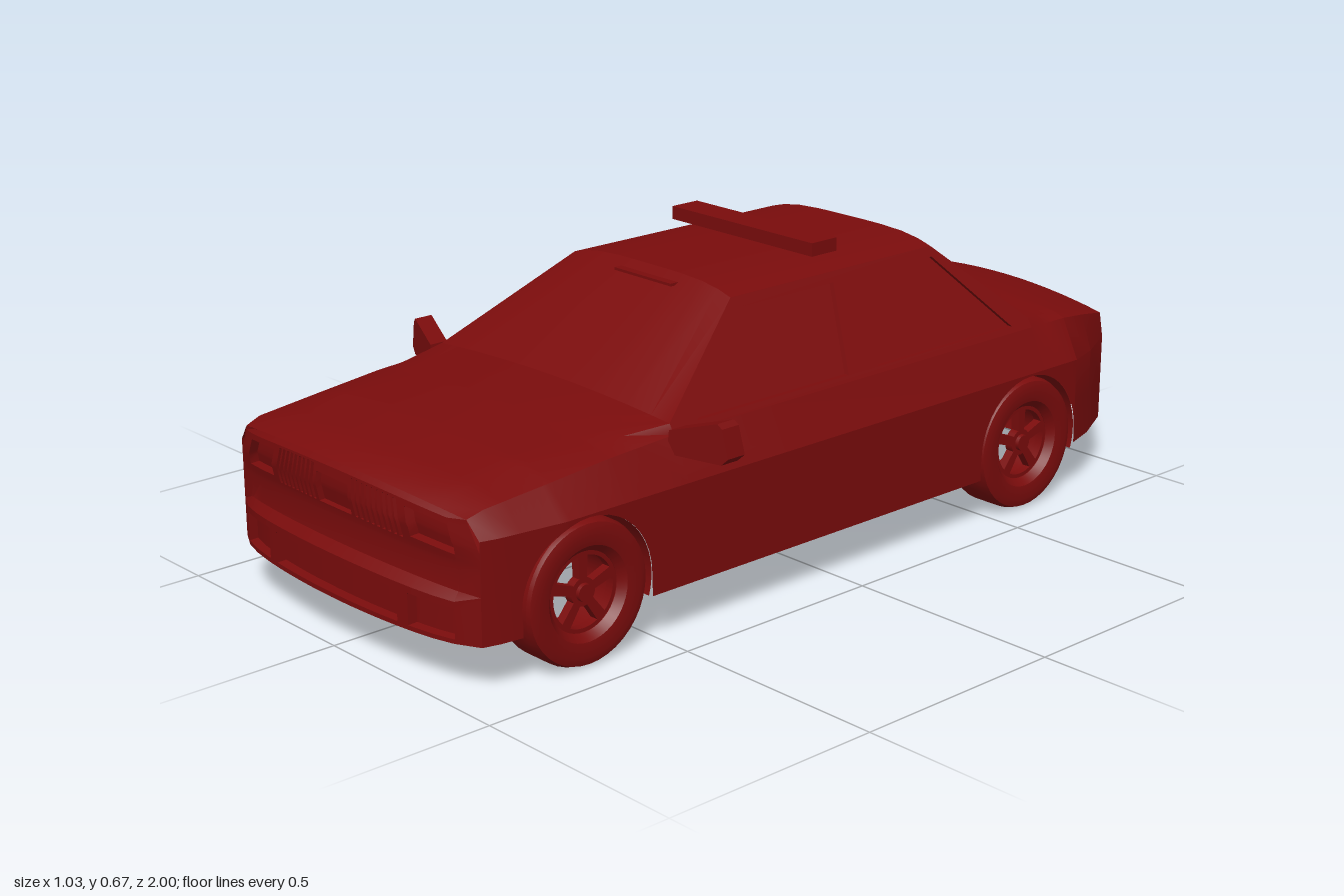
import * as THREE from 'three';
import { toCreasedNormals } from 'three/addons/utils/BufferGeometryUtils.js';

const paint = new THREE.MeshStandardMaterial({ color: 0x7a0c0c, side: THREE.DoubleSide });
const { lerp } = THREE.MathUtils;
const ARCHES = [0.69, -0.61], AXLE_Y = 0.155, ARCH_R = 0.16, SILL = 0.105;

// z, body half width, belt x, belt y, top edge x, top edge y, centre y, crown power
const STATIONS = [
  [0.935, 0.40, 0.37, 0.358, 0.30, 0.367, 0.385, 2],
  [0.90, 0.41, 0.375, 0.37, 0.30, 0.385, 0.405, 2],
  [0.75, 0.43, 0.38, 0.385, 0.31, 0.41, 0.425, 2],
  [0.60, 0.43, 0.383, 0.40, 0.33, 0.415, 0.437, 2],
  [0.43, 0.43, 0.385, 0.41, 0.3715, 0.43, 0.445, 2],
  [0.15, 0.43, 0.385, 0.41, 0.25, 0.61, 0.632, 4],
  [-0.46, 0.43, 0.385, 0.41, 0.25, 0.61, 0.632, 4],
  [-0.66, 0.43, 0.385, 0.41, 0.3715, 0.43, 0.45, 2],
  [-0.77, 0.43, 0.385, 0.41, 0.36, 0.42, 0.443, 2],
  [-0.85, 0.405, 0.375, 0.40, 0.33, 0.41, 0.435, 2],
  [-0.96, 0.35, 0.34, 0.375, 0.28, 0.3865, 0.41, 2],
];

function add(parent, name, geometry) {
  const mesh = new THREE.Mesh(geometry, paint);
  mesh.name = name;
  parent.add(mesh);
  return mesh;
}

// surface from an nu x nv grid of points, optionally leaving out quads
function grid(nu, nv, point, skip = () => false) {
  const pos = [], idx = [];
  for (let j = 0; j < nv; j++) for (let i = 0; i < nu; i++) pos.push(...point(i, j));
  for (let j = 0; j < nv - 1; j++) for (let i = 0; i < nu - 1; i++) {
    if (skip(i, j)) continue;
    const a = j * nu + i, b = a + 1, c = a + nu, d = c + 1;
    idx.push(a, c, b, b, c, d);
  }
  const g = new THREE.BufferGeometry();
  g.setAttribute('position', new THREE.Float32BufferAttribute(pos, 3));
  g.setIndex(idx);
  return toCreasedNormals(g, 0.45);
}

function moveVertices(g, rule) {
  const p = g.attributes.position;
  for (let i = 0; i < p.count; i++) p.setXYZ(i, ...rule(p.getX(i), p.getY(i), p.getZ(i)));
  g.computeVertexNormals();
  return g;
}

const shapeOf = (pts, sx = 1) => new THREE.Shape(pts.map(([x, y]) => new THREE.Vector2(sx * x, y)));
const unique = (list) => [...new Set(list.map((v) => +v.toFixed(4)))].sort((a, b) => a - b);

function stationAt(z) {
  let k = 0;
  while (k < STATIONS.length - 2 && z < STATIONS[k + 1][0]) k++;
  const a = STATIONS[k], b = STATIONS[k + 1], t = (z - a[0]) / (b[0] - a[0]);
  return a.map((v, i) => lerp(v, b[i], t));
}

// lower edge of the body, cut by the wheel arches
function lowerEdge(z) {
  for (const c of ARCHES) {
    const d = Math.abs(z - c);
    if (d <= ARCH_R + 1e-6) return AXLE_Y + Math.sqrt(Math.max(0, ARCH_R ** 2 - d * d));
  }
  return z < -0.7 ? 0.12 : SILL;
}

const noseCurve = (x) => 0.04 * (1 - (x / 0.4) ** 2);

function bodyShell() {
  const zs = STATIONS.map((s) => s[0]);
  for (const c of ARCHES) {
    zs.push(c - ARCH_R - 0.001, c + ARCH_R + 0.001);
    for (let i = 0; i <= 20; i++) zs.push(c + ARCH_R * Math.cos(i * Math.PI / 20));
  }
  const cols = unique(zs).reverse();
  const rings = cols.map((z) => {
    const [, w, xb, yb, xe, ye, yc, p] = stationAt(z);
    const y0 = lowerEdge(z);
    const half = [[w, y0], [w, lerp(y0, 0.32, 0.5)], [w, 0.32], [xb, yb]];
    for (const t of [1, 0.85, 0.65, 0.4, 0.2]) half.push([xe * t, yc - (yc - ye) * t ** p]);
    const ring = [...half, [0, yc], ...half.slice().reverse().map(([x, y]) => [-x, y])];
    const f = THREE.MathUtils.smoothstep(z, 0.6, 0.935);
    return ring.map(([x, y]) => [x, y, z + f * noseCurve(x)]);
  });
  const n = rings[0].length;
  // the upper sides of the cabin are left out for the window panels
  const skip = (i, j) => (i === 3 || i === n - 5) && cols[j] < 0.431 && cols[j + 1] > -0.661;
  return grid(n, cols.length, (i, j) => rings[j][i], skip);
}

// end face with rectangular recesses [x0, x1, y0, y1, depth]
function fascia(s, { z, w, xb, bottom, top, drop, curve, bulge, recesses }) {
  const e = 0.002, xs = [], ys = [bottom, 0.32, top, ...bulge.map((b) => b[0])];
  for (let i = -8; i <= 8; i++) xs.push(w * i / 8);
  for (const [x0, x1, y0, y1] of recesses) {
    xs.push(x0, x0 + e, x1 - e, x1);
    ys.push(y0, y0 + e, y1 - e, y1);
  }
  const X = unique(xs), Y = unique(ys);
  const bulgeAt = (y) => {
    const k = Math.max(1, bulge.findIndex((b) => b[0] >= y - 1e-6));
    const [a, b] = [bulge[k - 1], bulge[k]];
    return lerp(a[1], b[1], (y - a[0]) / (b[0] - a[0]));
  };
  return grid(X.length, Y.length, (i, j) => {
    const u = -s * X[i], v = Y[j];
    const hw = v <= 0.32 ? w : lerp(w, xb, (v - 0.32) / (top - 0.32));
    const x = u * hw / w;
    const y = v - drop * x * x * (v - bottom) / (top - bottom);
    const hit = recesses.find(([x0, x1, y0, y1]) =>
      u > x0 + e / 2 && u < x1 - e / 2 && v > y0 + e / 2 && v < y1 - e / 2);
    const out = curve(x) + bulgeAt(v) * (1 - Math.abs(u / w) ** 8) - (hit ? hit[4] : 0);
    return [x, y, s * (z + out)];
  });
}

// cabin side with two window openings and recessed glass
function cabinSide(group, s) {
  const outline = [[0.43, 0.41], [0.43, 0.43], [0.15, 0.61], [-0.46, 0.61], [-0.66, 0.43], [-0.66, 0.41]];
  const windows = [
    [[0.36, 0.422], [0.13, 0.59], [-0.14, 0.59], [-0.075, 0.422]],
    [[-0.165, 0.422], [-0.205, 0.59], [-0.45, 0.59], [-0.6, 0.422]],
  ];
  const place = (shape, depth, inset) => moveVertices(
    new THREE.ExtrudeGeometry(shape, { depth, bevelEnabled: false }).rotateY(s * Math.PI / 2),
    (x, y, z) => [x + s * (0.385 - 0.675 * (y - 0.41) - inset), y, z]);
  const panel = shapeOf(outline, -s);
  panel.holes = windows.map((w) => shapeOf(w, -s));
  add(group, 'windowFrame', place(panel, 0.015, 0.015));
  for (const w of windows) add(group, 'sideWindow', place(shapeOf(w, -s), 0.003, 0.015));
}

function wheel(name, s, z) {
  const g = new THREE.Group();
  g.name = name;
  const profile = [[0.085, -0.055], [0.13, -0.0575], [0.147, -0.052], [0.153, -0.036], [0.153, 0.036],
    [0.147, 0.052], [0.13, 0.0575], [0.1, 0.052], [0.085, 0.036], [0.085, -0.055]];
  const tyre = new THREE.LatheGeometry(profile.map((p) => new THREE.Vector2(...p)), 40);
  add(g, 'tyre', toCreasedNormals(tyre.rotateX(Math.PI / 2), 0.6));
  // rim disc with five openings between the spokes
  const disc = new THREE.Shape().absarc(0, 0, 0.088, 0, Math.PI * 2);
  for (let i = 0; i < 5; i++) {
    const a = Math.PI / 2 + (i + 0.5) * Math.PI * 0.4;
    const hole = new THREE.Path();
    hole.absarc(0, 0, 0.076, a - 0.47, a + 0.47, false);
    hole.absarc(0, 0, 0.03, a + 0.3, a - 0.3, true);
    disc.holes.push(hole);
  }
  const rim = new THREE.ExtrudeGeometry(disc, { depth: 0.02, bevelEnabled: false, curveSegments: 20 });
  add(g, 'rim', rim.translate(0, 0, 0.015));
  add(g, 'hub', new THREE.CylinderGeometry(0.018, 0.022, 0.03, 16).rotateX(Math.PI / 2).translate(0, 0, 0.028));
  g.rotation.y = s * Math.PI / 2;
  g.position.set(s * 0.3725, AXLE_Y - 0.002, z);
  return g;
}

export function createModel() {
  const car = new THREE.Group();
  car.name = 'car';
  add(car, 'bodyShell', bodyShell());

  // nose: headlights, bumper openings, number plate recess and grille slots
  const front = [[-0.205, 0.205, 0.115, 0.185, 0.02], [-0.055, 0.055, 0.29, 0.355, 0.012]];
  for (const s of [-1, 1]) {
    const box = (a, b, ...rest) => front.push([Math.min(s * a, s * b), Math.max(s * a, s * b), ...rest]);
    box(0.23, 0.345, 0.3, 0.362, 0.02);
    box(0.235, 0.35, 0.115, 0.185, 0.02);
    for (let i = 0; i < 9; i++) box(0.066 + i * 0.0165, 0.076 + i * 0.0165, 0.29, 0.37, 0.015);
  }
  add(car, 'frontFascia', fascia(1, {
    z: 0.935, w: 0.4, xb: 0.37, bottom: SILL, top: 0.385, drop: 0.2, curve: noseCurve, recesses: front,
    bulge: [[SILL, 0.025], [0.2, 0.025], [0.22, 0.008], [0.27, 0.002], [0.33, 0.015], [0.375, 0.01], [0.385, 0]],
  }));

  // tail: light strip recess below the boot edge
  add(car, 'rearFascia', fascia(-1, {
    z: 0.96, w: 0.35, xb: 0.34, bottom: 0.12, top: 0.41, drop: 0.3, curve: () => 0,
    recesses: [[-0.3, 0.3, 0.335, 0.385, 0.025]],
    bulge: [[0.12, 0.025], [0.25, 0.035], [0.33, 0.03], [0.395, 0.02], [0.41, 0]],
  }));
  add(car, 'rearLightBar', new THREE.BoxGeometry(0.56, 0.018, 0.02)).position.set(0, 0.352, -0.972);

  for (const s of [1, -1]) {
    const side = s > 0 ? 'left' : 'right';
    cabinSide(car, s);
    // door mirror, swept backwards
    const mirror = shapeOf([[0.385, 0.375], [0.5, 0.37], [0.515, 0.385], [0.502, 0.445], [0.492, 0.455], [0.39, 0.425]], s);
    add(car, side + 'Mirror', moveVertices(
      new THREE.ExtrudeGeometry(mirror, { depth: 0.045, bevelEnabled: false }),
      (x, y, z) => [x, y, z + 0.4 - 0.35 * (Math.abs(x) - 0.4)]));
    ARCHES.forEach((z, i) => car.add(wheel(side + (i ? 'RearWheel' : 'FrontWheel'), s, z)));
  }

  // wheel housings running across the car
  for (const z of ARCHES) {
    const housing = new THREE.CylinderGeometry(ARCH_R, ARCH_R, 0.855, 32, 1, true, -0.3, Math.PI + 0.6);
    add(car, 'wheelHousing', housing.rotateZ(Math.PI / 2)).position.set(0, AXLE_Y, z);
  }

  add(car, 'roofLightBar', new THREE.BoxGeometry(0.445, 0.03, 0.075)).position.set(-0.007, 0.655, -0.16);
  add(car, 'windscreenTrim', new THREE.BoxGeometry(0.18, 0.006, 0.02)).position.set(0.02, 0.615, 0.18);
  add(car, 'exhaust', new THREE.CylinderGeometry(0.025, 0.025, 0.23, 20, 1, true).rotateX(Math.PI / 2))
    .position.set(-0.215, 0.105, -0.875);
  return car;
}
